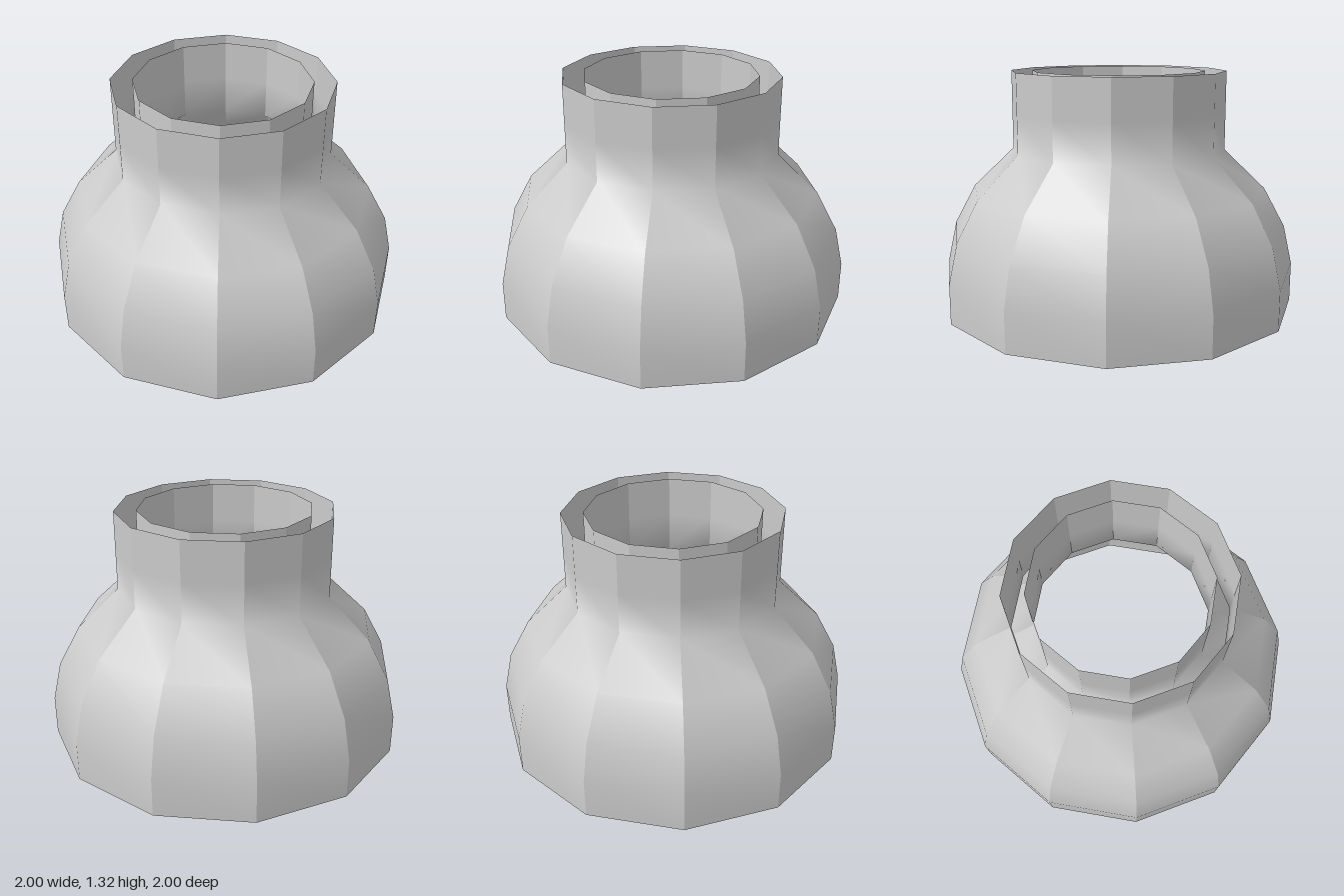
import * as THREE from 'three';
import { mergeGeometries } from 'three/addons/utils/BufferGeometryUtils.js';

const SIDES = 12;
const WALL = 0.12;

// Bell profile from the base to the neck: [radius, height]
const PROFILE = [[1, 0], [1, 0.22], [0.95, 0.44], [0.83, 0.66], [0.6, 0.88], [0.6, 1.1], [0.6, 1.32]];

// Twelve-sided open shell: smooth along the profile, sharp between the sides
function shellGeometry(points) {
  const step = (Math.PI * 2) / SIDES;
  const sectors = [];
  for (let i = 0; i < SIDES; i++) {
    const sector = new THREE.LatheGeometry(points, 1, i * step, step);
    sector.computeVertexNormals();
    sectors.push(sector);
  }
  return mergeGeometries(sectors);
}

export function createModel() {
  const group = new THREE.Group();
  group.name = 'bellCollar';
  const material = new THREE.MeshStandardMaterial({ color: 0xcccccc, side: THREE.DoubleSide });

  const addShell = (name, inset) => {
    const points = PROFILE.map(([r, y]) => new THREE.Vector2(r - inset, y));
    const mesh = new THREE.Mesh(shellGeometry(points), material);
    mesh.name = name;
    group.add(mesh);
  };

  // Two nested walls with an open gap between them at both ends
  addShell('outerWall', 0);
  addShell('innerWall', WALL);
  return group;
}
